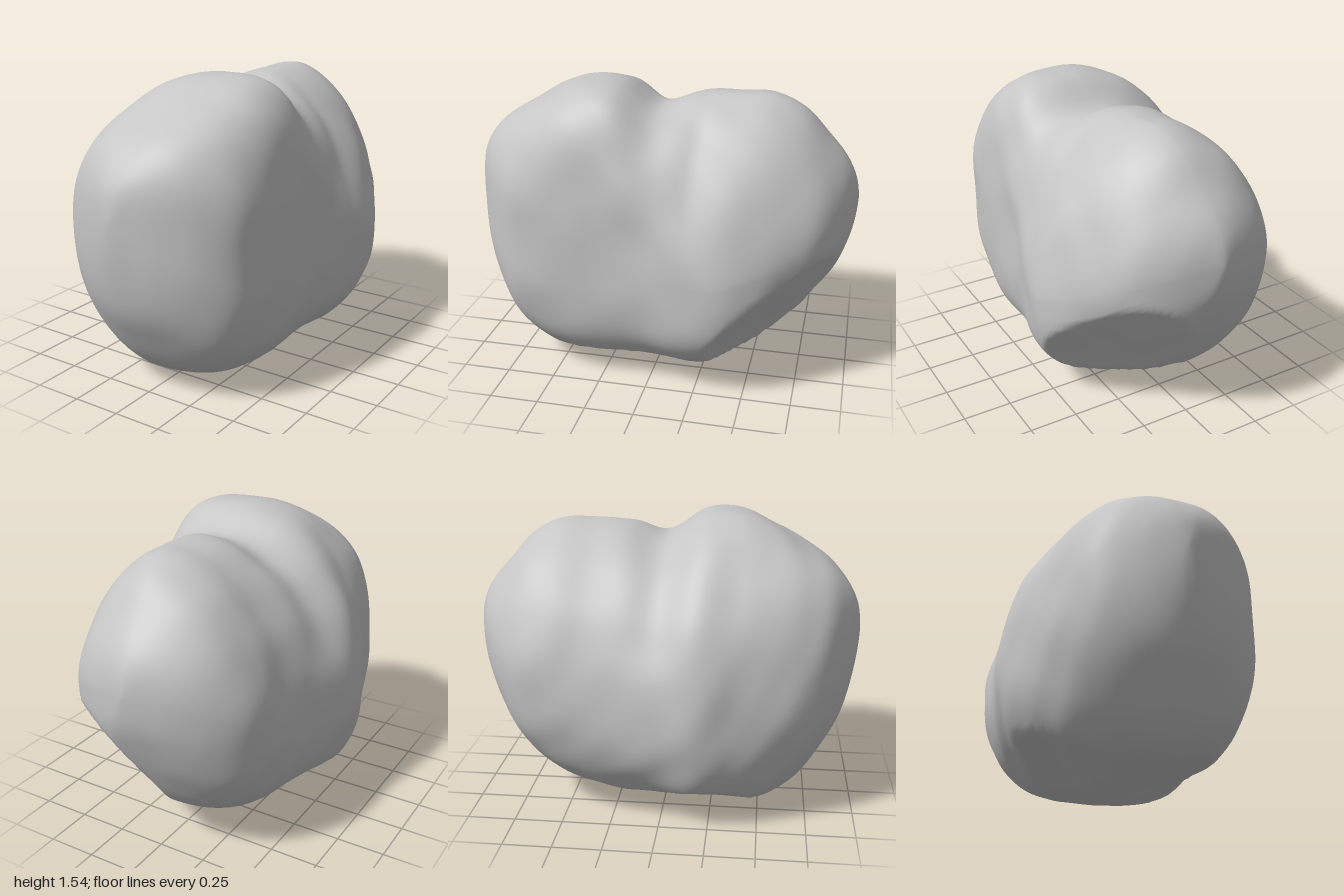
import * as THREE from 'three';
import { mergeVertices } from 'three/addons/utils/BufferGeometryUtils.js';

// Cross-sections at z = cos(i * 11.25 deg), nose to tail:
// top y, bottom y, low x, high x, ridge x, height of widest point
const SECTIONS = [
  [0.95, 0.95, 0, 0, 0, 0.95],
  [1.09, 0.75, -0.08, 0.08, 0, 0.93],
  [1.20, 0.51, -0.22, 0.23, 0.01, 0.88],
  [1.30, 0.34, -0.37, 0.38, 0.02, 0.81],
  [1.38, 0.16, -0.46, 0.49, 0.03, 0.74],
  [1.465, 0.06, -0.525, 0.53, 0.06, 0.68],
  [1.535, 0.015, -0.58, 0.545, 0.09, 0.63],
  [1.53, 0.005, -0.635, 0.55, 0.10, 0.59],
  [1.425, 0.05, -0.61, 0.57, 0.07, 0.62],
  [1.48, 0.065, -0.57, 0.615, 0.08, 0.65],
  [1.49, 0.11, -0.545, 0.635, 0.09, 0.66],
  [1.49, 0.17, -0.52, 0.575, 0.07, 0.71],
  [1.42, 0.28, -0.47, 0.49, 0.04, 0.78],
  [1.29, 0.46, -0.37, 0.39, 0.02, 0.86],
  [1.18, 0.65, -0.23, 0.24, 0.01, 0.91],
  [1.07, 0.80, -0.08, 0.08, 0, 0.94],
  [0.96, 0.96, 0, 0, 0, 0.96],
];
// Sloping flats: either side of the keel, and under the tail
const FLATS = [
  { normal: new THREE.Vector3(-0.43, -0.90, 0), limit: 0.03 },
  { normal: new THREE.Vector3(0.31, -0.95, 0), limit: -0.02 },
  { normal: new THREE.Vector3(0.47, -0.56, -0.68), limit: 0.32 },
];
const RINGS = 96;
const SIDES = 96;
const { lerp, smoothstep } = THREE.MathUtils;

// Smooth curve through one column of the section table
function column(k) {
  const curve = new THREE.SplineCurve(SECTIONS.map((s, i) => new THREE.Vector2(i, s[k])));
  return (t) => curve.getPoint(t).y;
}

// Squareness of each quarter of the section, blended from tail lobe to nose lobe
function squareness(c, s, z) {
  const nose = smoothstep(z, -0.25, 0.15);
  const tip = smoothstep(z, 0.35, 0.8);
  if (s <= 0) return c > 0 ? lerp(3.0, 2.7, nose) : 2.3 - 0.2 * tip;
  const neck = 0.2 * Math.exp(-((z / 0.13) ** 2));
  return (c > 0 ? lerp(1.7, 3.5, nose) - 0.6 * tip : lerp(1.85, 2.05, nose) + 0.35 * tip) - neck;
}

// Gentle uneven rock surface
function bumps(x, y, z) {
  return 0.006 * Math.sin(9 * x + 3 * y + 1) * Math.sin(8 * z - 5 * y + 2)
    + 0.005 * Math.sin(13 * y - 5 * x) * Math.sin(12 * z + 6 * x + 0.5)
    + 0.003 * Math.sin(19 * x + 13 * z) * Math.sin(17 * y - 9 * z);
}

function rockGeometry() {
  const [top, bottom, low, high, ridge, middle] = [0, 1, 2, 3, 4, 5].map(column);
  const positions = [];
  const indices = [];
  const point = new THREE.Vector3();
  for (let i = 0; i <= RINGS; i++) {
    const t = i / RINGS;
    const z = Math.cos(t * Math.PI);
    const mid = middle(t);
    for (let j = 0; j < SIDES; j++) {
      const a = (j / SIDES) * Math.PI * 2;
      const c = Math.cos(a);
      const s = Math.sin(a);
      const n = squareness(c, s, z);
      const u = Math.abs(c) ** (2 / n);
      const v = Math.abs(s) ** (2 / n);
      const cx = s > 0 ? ridge(t) : -0.7 * ridge(t);
      point.set(
        cx + u * ((c > 0 ? high(t) : low(t)) - cx),
        mid + v * ((s > 0 ? top(t) : bottom(t)) - mid),
        z,
      );
      for (const { normal, limit } of FLATS) {
        point.addScaledVector(normal, -Math.max(0, point.dot(normal) - limit));
      }
      const b = bumps(point.x, point.y, z) * Math.sin(t * Math.PI);
      positions.push(point.x + b * c, Math.max(0, point.y + b * s), point.z);
    }
  }
  for (let i = 0; i < RINGS; i++) {
    for (let j = 0; j < SIDES; j++) {
      const k = (j + 1) % SIDES;
      const p = i * SIDES;
      const q = p + SIDES;
      if (i < RINGS - 1) indices.push(p + j, q + j, q + k);
      else indices.push(p + j, q, p + k);
      if (i > 0 && i < RINGS - 1) indices.push(p + j, q + k, p + k);
    }
  }
  const geometry = new THREE.BufferGeometry();
  geometry.setAttribute('position', new THREE.Float32BufferAttribute(positions, 3));
  geometry.setIndex(indices);
  const merged = mergeVertices(geometry, 1e-5);
  merged.computeVertexNormals();
  return merged;
}

export function createModel() {
  const group = new THREE.Group();
  group.name = 'asteroid';
  const stone = new THREE.MeshStandardMaterial({ color: 0xc6c6c6 });
  stone.name = 'grey stone';
  const rock = new THREE.Mesh(rockGeometry(), stone);
  rock.name = 'twoLobedRock';
  group.add(rock);
  return group;
}
